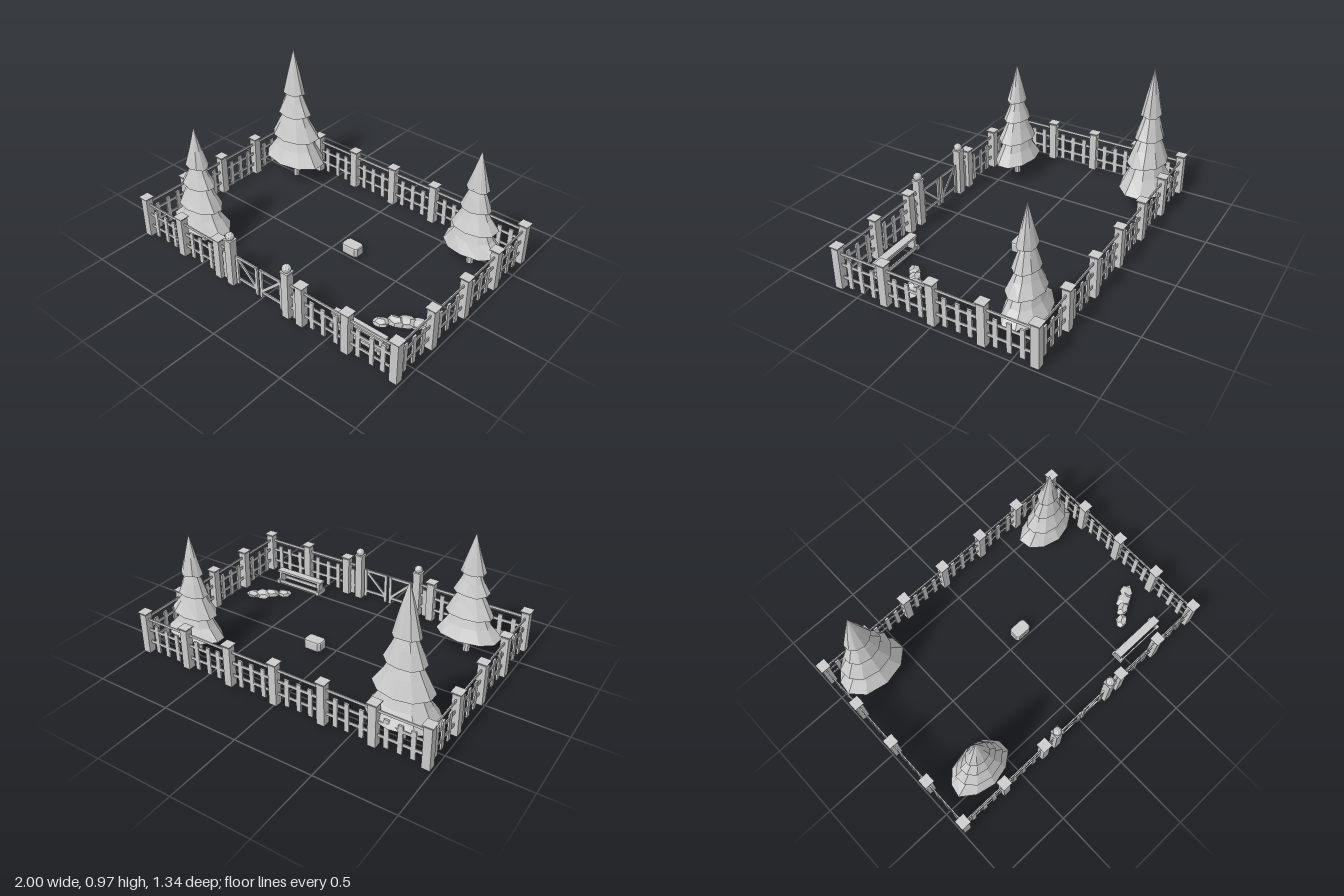
import * as THREE from 'three';

const mat = new THREE.MeshStandardMaterial({ color: 0xcccccc, flatShading: true });

function add(parent, name, geometry, x = 0, y = 0, z = 0) {
  const m = new THREE.Mesh(geometry, mat);
  m.name = name;
  m.position.set(x, y, z);
  parent.add(m);
  return m;
}
const box = (parent, name, w, h, d, x, y, z) => add(parent, name, new THREE.BoxGeometry(w, h, d), x, y, z);
const group = (parent, name, x = 0, y = 0, z = 0) => {
  const g = new THREE.Group();
  g.name = name;
  g.position.set(x, y, z);
  parent.add(g);
  return g;
};

// Small repeatable variation in the range -1..1
const vary = (n) => {
  const s = Math.sin(n * 127.1 + 11.7) * 43758.5453;
  return (s - Math.floor(s)) * 2 - 1;
};

// Square post with a thin overhanging cap
function post(parent, x, z) {
  const g = group(parent, 'fencePost', x, 0, z);
  box(g, 'postShaft', 0.05, 0.267, 0.05, 0, 0.1435, 0);
  box(g, 'postNeck', 0.03, 0.012, 0.03, 0, 0.282, 0);
  box(g, 'postCap', 0.066, 0.005, 0.066, 0, 0.289, 0);
}

// Rails and pickets running along local x between two points
function panel(parent, x0, z0, x1, z1, pickets, seed) {
  const length = Math.hypot(x1 - x0, z1 - z0);
  const g = group(parent, 'fencePanel', (x0 + x1) / 2, 0, (z0 + z1) / 2);
  g.rotation.y = -Math.atan2(z1 - z0, x1 - x0);
  box(g, 'topRail', length, 0.016, 0.007, 0, 0.243, 0);
  box(g, 'middleRail', length, 0.019, 0.006, 0, 0.17, 0);
  box(g, 'lowerRail', length, 0.019, 0.006, 0, 0.085, 0);
  for (let i = 0; i < pickets; i++) {
    const x = ((i + 1) / (pickets + 1) - 0.5) * length + vary(seed * 7 + i) * 0.006;
    const h = 0.188 + vary(seed * 5 + i) * 0.006;
    const p = box(g, 'picket', 0.03, h, 0.011, x, 0.02 + h / 2, 0);
    p.rotation.z = vary(seed * 3 + i) * 0.015;
  }
}

// Taller gate post with a faceted ball on top
function gatePost(parent, x, z) {
  const g = group(parent, 'gatePost', x, 0, z);
  box(g, 'gatePostShaft', 0.05, 0.315, 0.05, 0, 0.1675, 0);
  box(g, 'gatePostCap', 0.058, 0.01, 0.058, 0, 0.328, 0);
  add(g, 'gatePostBall', new THREE.IcosahedronGeometry(0.028, 1), 0, 0.35, 0);
}

// One gate leaf: two stiles, two rails and a brace falling to the middle
function gateLeaf(parent, side, z) {
  const g = group(parent, 'gateLeaf', side * 0.095, 0, z);
  for (const s of [-1, 1]) box(g, 'gateStile', 0.02, 0.2, 0.012, s * 0.077, 0.13, 0);
  for (const y of [0.07, 0.225]) box(g, 'gateRail', 0.175, 0.018, 0.008, 0, y, 0);
  const brace = box(g, 'gateBrace', 0.21, 0.018, 0.008, 0, 0.148, 0);
  brace.rotation.z = side * Math.atan2(0.145, 0.15);
}

// Tiered conifer: one turned profile, ragged at the rims and flattened in depth
const TREE_PROFILE = [
  [0, 0.13], [0.21, 0.13], [0.145, 0.21], [0.085, 0.315], [0.162, 0.28], [0.11, 0.36], [0.058, 0.45],
  [0.112, 0.42], [0.075, 0.495], [0.036, 0.58], [0.078, 0.55], [0.042, 0.67], [0, 0.81],
];
const RIMS = [1, 4, 7, 10];

function tree(parent, x, z, height, rx, rz, seed) {
  const g = group(parent, 'tree', x, 0, z);
  const sides = 10, count = TREE_PROFILE.length;
  const geo = new THREE.LatheGeometry(TREE_PROFILE.map(([r, y]) => new THREE.Vector2(r, y)), sides);
  const p = geo.attributes.position;
  for (let i = 0; i < p.count; i++) {
    const side = Math.floor(i / count) % sides, ring = i % count;
    const rim = RIMS.includes(ring);
    const n = vary(seed * 31 + side * 5 + ring);
    const grow = 1 + (rim ? 0.06 * n : 0);
    const depth = THREE.MathUtils.mapLinear(p.getY(i), 0.13, 0.81, rz / rx, 0.82);
    p.setXYZ(i, p.getX(i) * grow * rx / 0.21, (p.getY(i) + (rim ? n * 0.01 : 0)) * height / 0.81,
      p.getZ(i) * grow * depth * rx / 0.21);
  }
  geo.computeVertexNormals();
  add(g, 'foliage', geo);
  add(g, 'trunk', new THREE.CylinderGeometry(0.019, 0.024, 0.2, 8), 0, 0.1, 0);
}

// Rough faceted stone
function rock(parent, x, z, rx, ry, rz, seed) {
  const geo = new THREE.DodecahedronGeometry(1, 0);
  const p = geo.attributes.position;
  for (let i = 0; i < p.count; i++) {
    const key = Math.round(p.getX(i) * 50) + Math.round(p.getY(i) * 50) * 3 + Math.round(p.getZ(i) * 50) * 7;
    const k = 1 + 0.14 * vary(key + seed);
    p.setXYZ(i, p.getX(i) * rx * k, Math.max(p.getY(i), -0.7) * ry * k, p.getZ(i) * rz * k);
  }
  geo.computeVertexNormals();
  add(parent, 'rock', geo, x, 0.01 + ry * 0.75, z).rotation.y = 0.3 + 0.3 * vary(seed);
}

export function createModel() {
  const model = new THREE.Group();
  model.name = 'fencedYard';
  const X = 0.967, Z = 0.635;

  // Fence posts and panels
  const fence = group(model, 'fence');
  const dx = X / 3, dz = Z / 2;
  for (let i = -3; i <= 3; i++) {
    post(fence, i * dx, -Z);
    if (i !== 0) post(fence, i * dx, Z);
    if (i < 3) panel(fence, i * dx, -Z, (i + 1) * dx, -Z, 3, i + 10);
    if (i < -1 || (i > 0 && i < 3)) panel(fence, i * dx, Z, (i + 1) * dx, Z, 3, i + 30);
  }
  for (const s of [-1, 1]) {
    for (let j = -2; j < 2; j++) {
      if (j > -2) post(fence, s * X, j * dz);
      panel(fence, s * X, j * dz, s * X, (j + 1) * dz, 3, j + 50 + s * 6);
    }
  }

  // Gate
  const gate = group(model, 'gate');
  for (const s of [-1, 1]) {
    gatePost(gate, s * 0.22, Z);
    gateLeaf(gate, s, Z);
    panel(gate, s * 0.22, Z, s * dx, Z, 1, 70 + s);
  }

  // Trees
  tree(model, -0.738, -0.488, 0.966, 0.235, 0.16, 1);
  tree(model, -0.672, 0.449, 0.815, 0.212, 0.134, 2);
  tree(model, 0.733, -0.444, 0.795, 0.195, 0.127, 3);

  // Bench
  const bench = group(model, 'bench', 0.63, 0, 0.512);
  box(bench, 'benchSeat', 0.36, 0.014, 0.052, 0, 0.1, 0);
  for (const s of [-1, 1]) {
    box(bench, 'benchSideBoard', 0.35, 0.024, 0.008, 0, 0.032, s * 0.034);
    box(bench, 'benchLeg', 0.02, 0.075, 0.048, s * 0.16, 0.0575, 0);
    box(bench, 'benchFoot', 0.024, 0.028, 0.085, s * 0.165, 0.026, 0);
  }

  // Stones
  const rocks = group(model, 'rocks');
  rock(rocks, 0.66, 0.355, 0.052, 0.024, 0.038, 1);
  rock(rocks, 0.725, 0.3, 0.058, 0.032, 0.038, 2);
  rock(rocks, 0.775, 0.265, 0.06, 0.031, 0.048, 3);
  rock(rocks, 0.825, 0.238, 0.056, 0.024, 0.042, 4);

  // Block with trimmed corners in the yard
  const s = new THREE.Shape();
  const w = 0.057, d = 0.038, c = 0.013;
  s.setFromPoints([[-w + c, -d], [w - c, -d], [w, -d + c], [w, d - c], [w - c, d], [-w + c, d], [-w, d - c], [-w, -d + c]]
    .map(([a, b]) => new THREE.Vector2(a, b)));
  const block = new THREE.ExtrudeGeometry(s, { depth: 0.05, bevelThickness: 0.006, bevelSize: 0.004, bevelSegments: 1 });
  add(model, 'stoneBlock', block, 0.13, 0.011, -0.048).rotation.x = -Math.PI / 2;

  return model;
}
